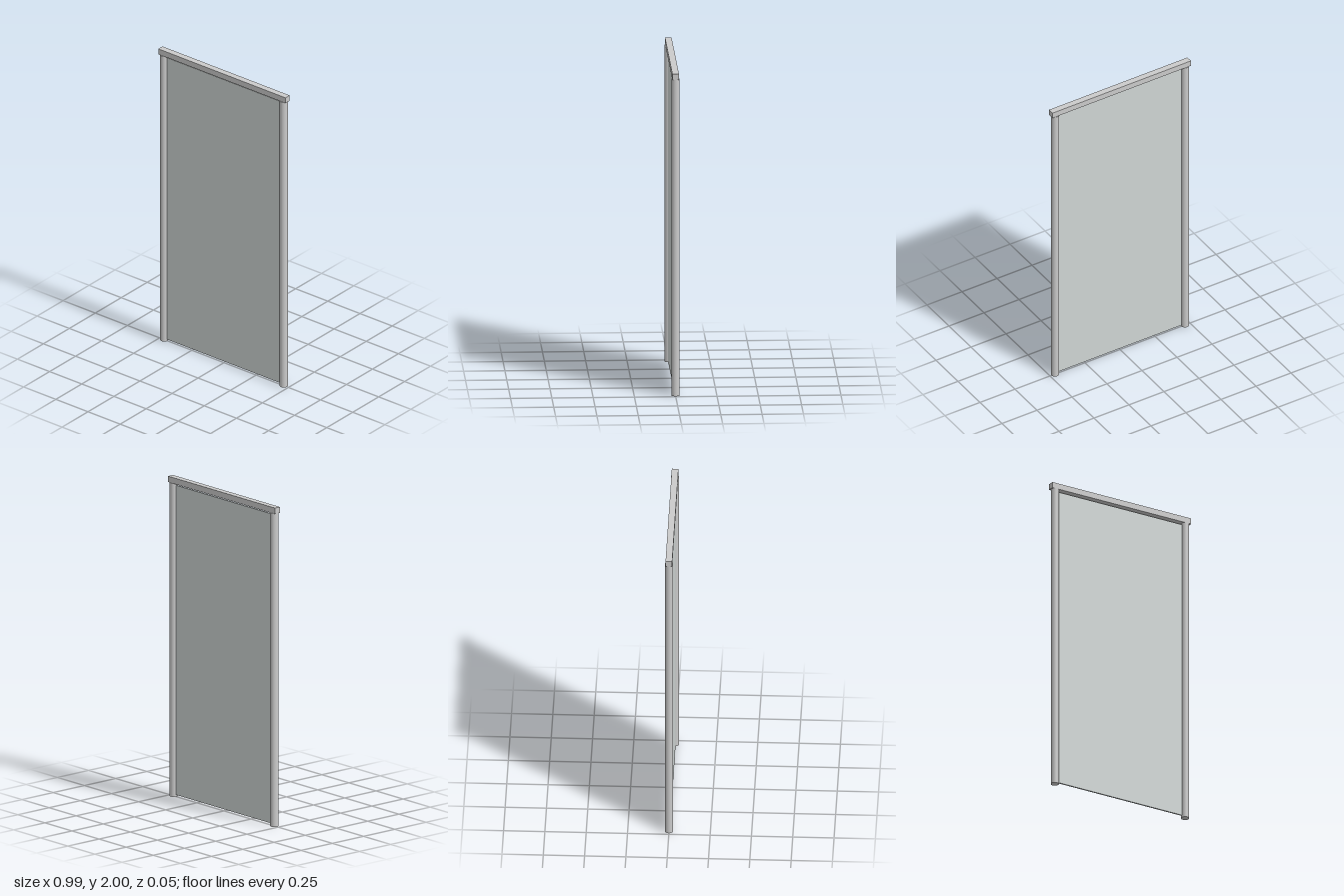
import * as THREE from 'three';

export function createModel() {
  const group = new THREE.Group();
  const frame = new THREE.MeshStandardMaterial({ color: 0xcccccc });
  const glass = new THREE.MeshStandardMaterial({ color: 0xd0d6d5 });

  const add = (name, geometry, material, x, y) => {
    const mesh = new THREE.Mesh(geometry, material);
    mesh.name = name;
    mesh.position.set(x, y, 0);
    group.add(mesh);
  };

  // Round posts, mirrored left and right
  const postHeight = 1.963;
  const post = new THREE.CylinderGeometry(0.0247, 0.0247, postHeight, 32);
  add('leftPost', post, frame, 0.464, postHeight / 2);
  add('rightPost', post, frame, -0.464, postHeight / 2);

  // Rectangular rail resting on the posts
  const railHeight = 2 - postHeight;
  add('topRail', new THREE.BoxGeometry(0.988, railHeight, 0.04), frame, 0, postHeight + railHeight / 2);

  // Thin panel with a small gap all round
  const bottom = 0.013, top = 1.951;
  add('panel', new THREE.BoxGeometry(0.875, top - bottom, 0.01), glass, 0, (top + bottom) / 2);

  return group;
}
